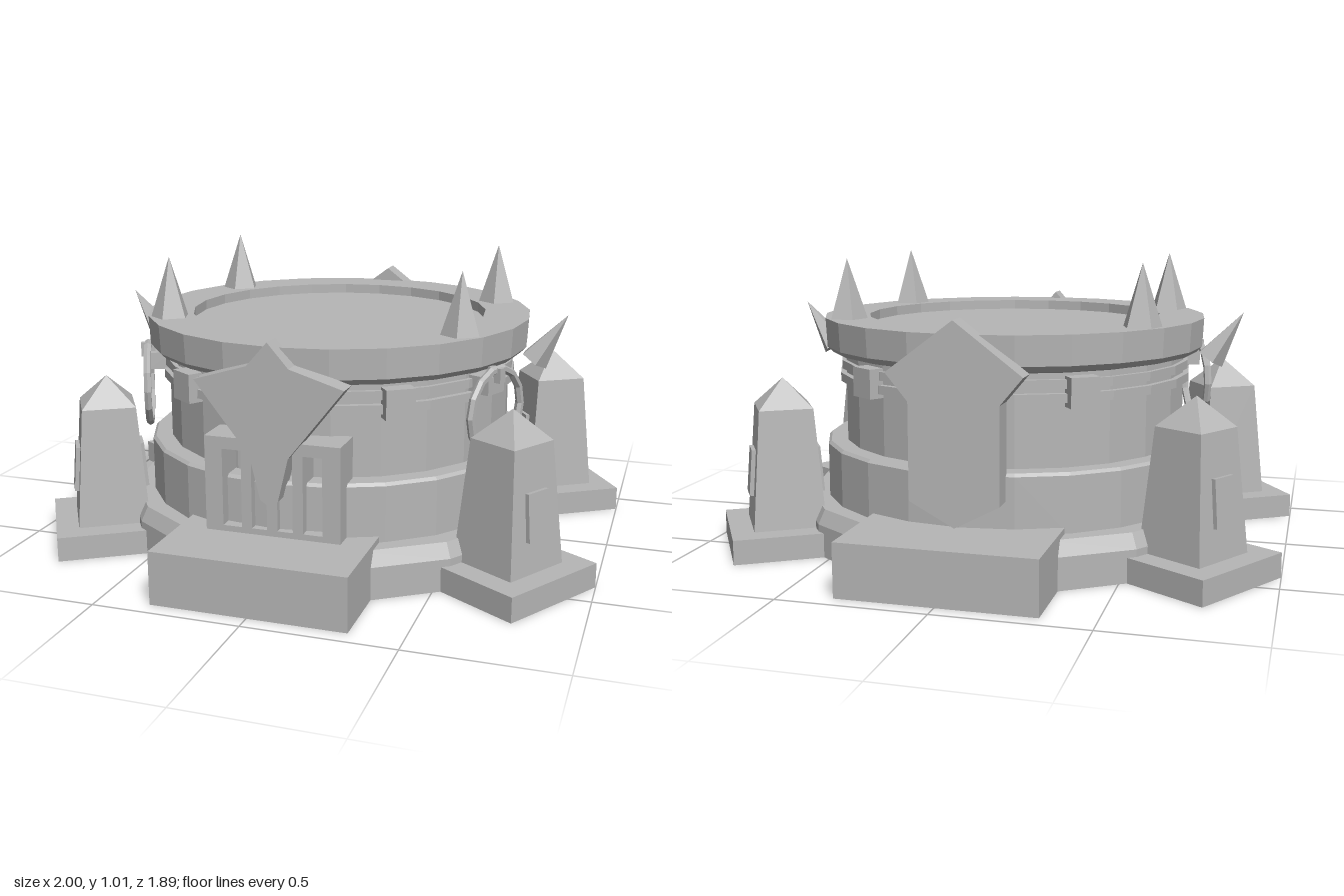
import * as THREE from 'three';

export function createModel() {
  const model = new THREE.Group();
  model.name = 'arenaTower';
  const stone = new THREE.MeshStandardMaterial({ color: 0xb6b6b6, flatShading: true });
  stone.name = 'stone';

  const add = (name, geometry, x = 0, y = 0, z = 0, parent = model) => {
    const mesh = new THREE.Mesh(geometry, stone);
    mesh.name = name;
    mesh.position.set(x, y, z);
    parent.add(mesh);
    return mesh;
  };
  const box = (w, h, d) => new THREE.BoxGeometry(w, h, d);
  const lathe = (points, sides) =>
    new THREE.LatheGeometry(points.map(([r, y]) => new THREE.Vector2(r, y)), sides);
  // Group whose local +z points outward through (x, z)
  const facing = (name, x, z) => {
    const group = new THREE.Group();
    group.name = name;
    group.rotation.y = Math.atan2(x, z);
    model.add(group);
    return group;
  };
  // Plate cut from an outline, with optional rectangular holes [x0, x1, y0, y1]
  const plate = (points, depth, holes = []) => {
    const shape = new THREE.Shape(points.map(([x, y]) => new THREE.Vector2(x, y)));
    for (const [x0, x1, y0, y1] of holes) {
      shape.holes.push(new THREE.Path([
        new THREE.Vector2(x0, y0), new THREE.Vector2(x0, y1),
        new THREE.Vector2(x1, y1), new THREE.Vector2(x1, y0),
      ]));
    }
    return new THREE.ExtrudeGeometry(shape, { depth, bevelEnabled: false });
  };
  // Completes a right-hand outline that starts and ends on the centre line
  const mirrored = (half) =>
    [...half, ...half.slice(1, -1).reverse().map(([x, y]) => [-x, y])];

  // Stepped foundation
  add('foundation', lathe([[0, 0], [0.78, 0], [0.78, 0.11], [0.755, 0.16], [0, 0.16]], 16));

  // Round body, flared rim and sunken floor
  add('towerBody', lathe([
    [0.69, 0.15], [0.69, 0.35], [0.68, 0.36], [0.62, 0.36], [0.62, 0.67], [0.665, 0.68],
    [0.685, 0.7], [0.69, 0.8], [0.53, 0.8], [0.53, 0.765], [0, 0.765],
  ], 24));

  // Twin bands around the wall
  for (const [y, r] of [[0.575, 0.64], [0.62, 0.635]]) {
    add('wallBand', lathe([[0.61, y], [r, y], [r, y + 0.03], [0.61, y + 0.03]], 24));
  }

  // Front and back steps
  for (const s of [1, -1]) add('entranceStep', box(0.655, 0.18, 0.345), 0, 0.09, s * 0.7725);

  // Front gate with four slots
  const gate = [[-0.23, 0.16], [0.23, 0.16], [0.23, 0.5], [-0.23, 0.5]];
  const slots = [[-0.17, -0.105], [-0.07, -0.018], [0.018, 0.07], [0.105, 0.17]]
    .map(([a, b]) => [a, b, 0.2, 0.46]);
  add('gate', plate(gate, 0.13, slots), 0, 0, 0.58);

  // Horned crest over the gate
  add('frontCrest', plate(mirrored([
    [0, 0.29], [0.03, 0.31], [0.065, 0.455], [0.25, 0.69], [0.07, 0.745], [0, 0.825],
  ]), 0.075), 0, 0, 0.66);

  // Pointed panel on the back
  add('backPanel', plate(mirrored([
    [0, 0.19], [0.15, 0.27], [0.15, 0.59], [0.225, 0.68], [0, 0.85],
  ]), 0.08), 0, 0, -0.74);

  for (const sx of [1, -1]) {
    for (const sz of [1, -1]) {
      // Corner obelisk on its plinth
      const obelisk = facing('obelisk', sx * 0.72, sz * 0.45);
      add('plinth', box(0.41, 0.085, 0.45), 0, 0.0425, 0.825, obelisk);
      const shaft = new THREE.CylinderGeometry(0.185 / Math.SQRT2, 0.25 / Math.SQRT2, 0.42, 4);
      add('obeliskShaft', shaft.rotateY(Math.PI / 4), 0, 0.29, 0.848, obelisk);
      const cap = new THREE.ConeGeometry(0.185 / Math.SQRT2, 0.1, 4);
      add('obeliskCap', cap.rotateY(Math.PI / 4), 0, 0.55, 0.848, obelisk);
      for (const s of [1, -1]) {
        const panel = add('obeliskPanel', box(0.095, 0.16, 0.025), 0, 0.275, 0.848 + s * 0.112, obelisk);
        panel.rotation.x = -s * 0.08;
      }

      // Rim spike
      add('rimSpike', new THREE.ConeGeometry(0.07, 0.215, 5), sx * 0.52, 0.9025, sz * 0.325);

      // Clasp holding the bands
      const clasp = facing('clasp', sx * 0.38, sz * 0.55);
      add('claspBlock', box(0.1, 0.1, 0.07), 0, 0.61, 0.635, clasp);
    }

    // Slanted spike on each side
    const spike = add('sideSpike', new THREE.ConeGeometry(0.052, 0.2, 5), sx * 0.77, 0.741, 0);
    spike.rotation.set(0, sx * Math.PI / 2, -sx * 0.6, 'ZYX');

    // Hanging ring and its bracket
    const hanger = facing('ringHanger', sx * 0.635, 0.285);
    add('ringBracket', box(0.09, 0.06, 0.09), 0, 0.63, 0.65, hanger);
    add('ringHook', box(0.03, 0.05, 0.05), 0, 0.665, 0.695, hanger);
    add('hangingRing', new THREE.TorusGeometry(0.143, 0.014, 6, 14), 0, 0.542, 0.696, hanger);
  }
  return model;
}
